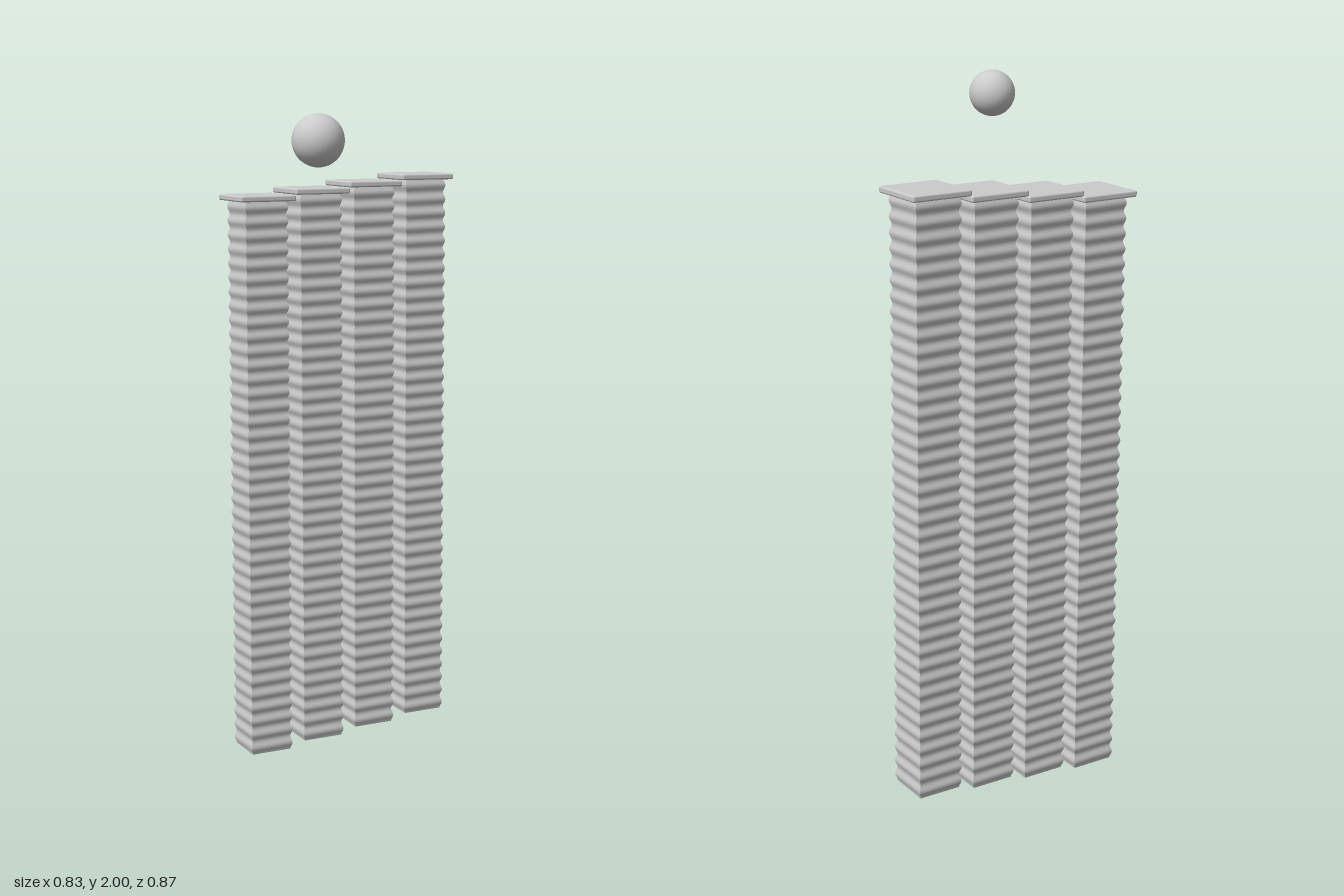
import * as THREE from 'three';
import { RoundedBoxGeometry } from 'three/addons/geometries/RoundedBoxGeometry.js';

const material = new THREE.MeshStandardMaterial({ color: 0xcccccc });
const HEIGHT = 1.735, CAP = 0.018, RIBS = 40;

// Square shaft whose width ripples along its height, with sharp corners
function ribbedShaft() {
  const geo = new THREE.BoxGeometry(1, HEIGHT, 1, 1, RIBS * 6, 1);
  const pos = geo.attributes.position;
  for (let i = 0; i < pos.count; i++) {
    const t = pos.getY(i) / HEIGHT + 0.5;
    const width = 0.135 - 0.006 * Math.cos(t * RIBS * Math.PI * 2);
    pos.setX(i, pos.getX(i) * width);
    pos.setZ(i, pos.getZ(i) * width);
  }
  geo.computeVertexNormals();
  return geo;
}

function part(name, geo, x, y, z) {
  const mesh = new THREE.Mesh(geo, material);
  mesh.name = name;
  mesh.position.set(x, y, z);
  return mesh;
}

export function createModel() {
  const model = new THREE.Group();
  model.name = 'columnsAndBall';

  const shaftGeo = ribbedShaft();
  const capGeo = new RoundedBoxGeometry(0.18, CAP, 0.18, 3, 0.005);

  // Row of four columns, each a step higher than the last
  for (let i = 0; i < 4; i++) {
    const column = new THREE.Group();
    column.name = `column${i + 1}`;
    column.position.set(-0.217 + i * 0.1807, 0.003 + i * 0.0185, -0.346);
    column.add(part('shaft', shaftGeo, 0, HEIGHT / 2, 0.002));
    column.add(part('cap', capGeo, 0, HEIGHT + CAP / 2 - 0.003, 0));
    model.add(column);
  }

  // Floating ball
  model.add(part('ball', new THREE.SphereGeometry(0.071, 32, 24), -0.346, 1.929, 0.363));
  return model;
}
